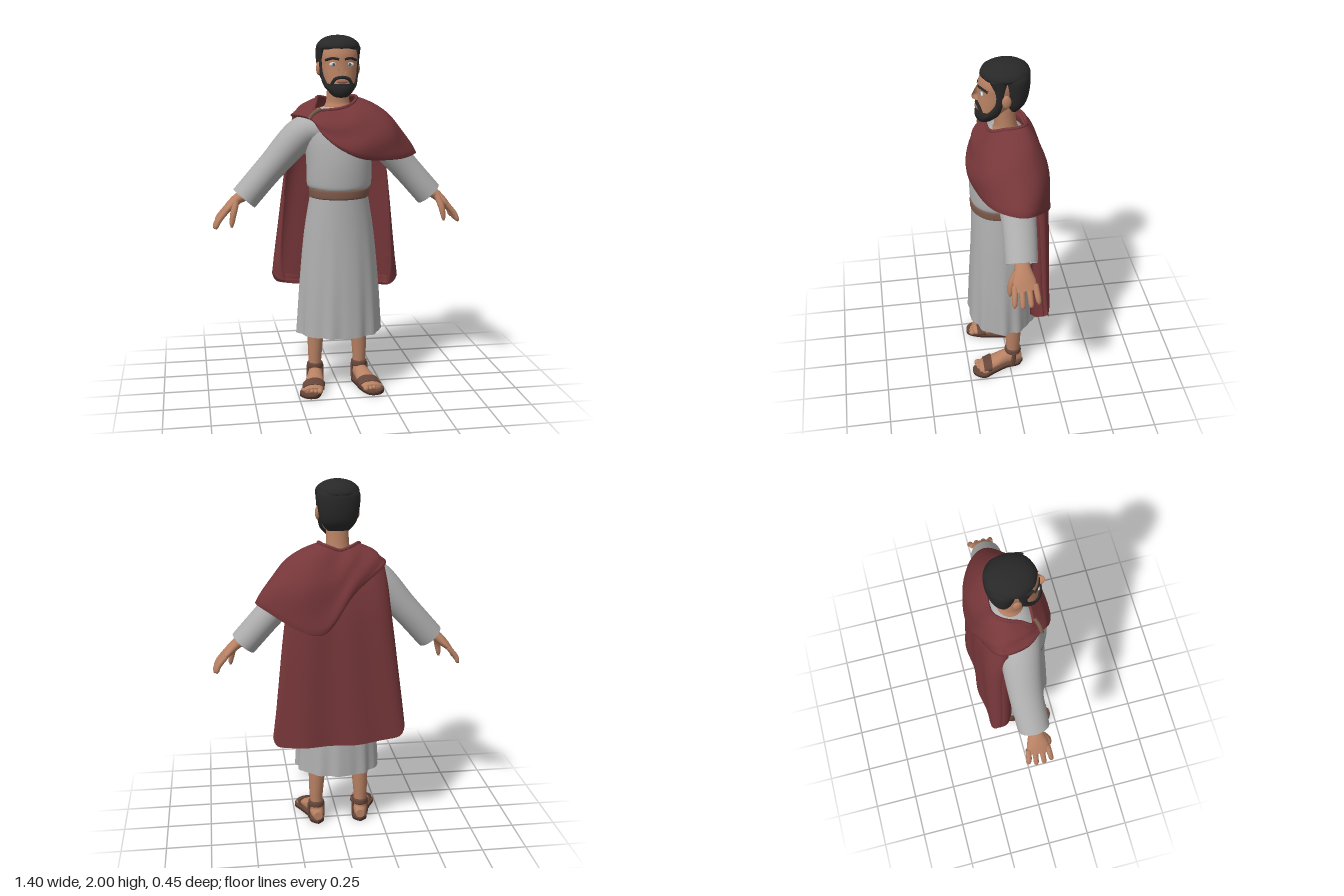
import * as THREE from 'three';

const V = (x, y, z) => new THREE.Vector3(x, y, z);
const X = V(1, 0, 0), Y = V(0, 1, 0), Z = V(0, 0, 1);
const paint = (name, color, side = THREE.FrontSide) => {
  const m = new THREE.MeshStandardMaterial({ color, side });
  m.name = name;
  return m;
};

// Smoothly resample rows of five numbers
function spline(rows, n) {
  const curve = (f) => new THREE.CatmullRomCurve3(rows.map(f), false, 'catmullrom', 0.5);
  const a = curve((r) => V(r[0], r[1], r[2])), b = curve((r) => V(r[3], r[4], 0));
  return Array.from({ length: n + 1 }, (_, i) => {
    const p = a.getPoint(i / n), q = b.getPoint(i / n);
    return [p.x, p.y, p.z, q.x, q.y];
  });
}

// Skin a list of closed rings, with optional flat ends
function loft(rings, caps = true) {
  const n = rings[0].length, pos = [], idx = [];
  rings.forEach((r) => r.forEach((p) => pos.push(p.x, p.y, p.z)));
  for (let i = 0; i < rings.length - 1; i++) {
    for (let j = 0; j < n; j++) {
      const k = (j + 1) % n, a = i * n + j, b = i * n + k;
      idx.push(a, a + n, b, b, a + n, b + n);
    }
  }
  if (caps) {
    [rings[0], rings[rings.length - 1]].forEach((r, end) => {
      const s = pos.length / 3;
      const c = r.reduce((t, p) => t.add(p), V(0, 0, 0)).divideScalar(n);
      [...r, c].forEach((p) => pos.push(p.x, p.y, p.z));
      for (let j = 0; j < n; j++) {
        const k = (j + 1) % n;
        idx.push(s + n, s + (end ? k : j), s + (end ? j : k));
      }
    });
  }
  const g = new THREE.BufferGeometry();
  g.setAttribute('position', new THREE.Float32BufferAttribute(pos, 3));
  g.setIndex(idx);
  g.computeVertexNormals();
  return g;
}

// Elliptical sections [x, y, z, radiusA, radiusB] along a path; radiusB lies along ref
function sweep(rows, { steps = 12, n = 20, ref = Z, dir = null, caps = true, shape = () => 1 } = {}) {
  const s = spline(rows, steps), at = (i) => V(...s[Math.min(Math.max(i, 0), steps)].slice(0, 3));
  return loft(s.map((r, i) => {
    const d = dir || at(i + 1).sub(at(i - 1)).normalize();
    const b = ref.clone().addScaledVector(d, -ref.dot(d)).normalize();
    const u = d.clone().cross(b);
    return Array.from({ length: n }, (_, j) => {
      const a = (j / n) * Math.PI * 2, k = shape(a, i / steps);
      return at(i).addScaledVector(u, Math.max(r[3], 0.002) * k * Math.cos(a))
        .addScaledVector(b, Math.max(r[4], 0.002) * k * Math.sin(a));
    });
  }), caps);
}

const ball = (x, y, z, a, b, c) => new THREE.SphereGeometry(1, 16, 12).scale(a, b, c).translate(x, y, z);
const tube = (pts, r, closed = false) =>
  new THREE.TubeGeometry(new THREE.CatmullRomCurve3(pts.map((p) => V(...p)), closed), 40, r, 8, closed);

function mirrored(geo) {
  const g = geo.clone().scale(-1, 1, 1);
  const src = g.index ? Array.from(g.index.array) : Array.from({ length: g.attributes.position.count }, (_, i) => i);
  for (let i = 0; i < src.length; i += 3) [src[i + 1], src[i + 2]] = [src[i + 2], src[i + 1]];
  g.setIndex(src);
  return g;
}

export function createModel() {
  const model = new THREE.Group();
  const cloak = paint('cloakRed', 0x77373a, THREE.DoubleSide), linen = paint('tunicGrey', 0xaeaeae, THREE.DoubleSide);
  const skin = paint('skin', 0xb88163), hair = paint('hairBlack', 0x282828), belt = paint('beltBrown', 0x7b5849);
  const leather = paint('sandalBrown', 0x66463a), sole = paint('soleBrown', 0x432c25);
  const white = paint('eyeWhite', 0xdde0e2), iris = paint('irisBlue', 0x4f6670), lip = paint('lip', 0x99604f);
  const add = (name, geo, mat) => {
    const m = new THREE.Mesh(geo, mat);
    m.name = name;
    model.add(m);
  };
  const pair = (name, geo, mat) => {
    add(name + 'Left', geo, mat);
    add(name + 'Right', mirrored(geo), mat);
  };

  // Tunic: fluted skirt, bloused top, belt
  add('skirt', sweep([[0, 0.34, 0.03, 0.24, 0.197], [0, 0.6, 0.032, 0.226, 0.185], [0, 0.9, 0.036, 0.198, 0.166],
    [0, 1.14, 0.045, 0.16, 0.149]], { steps: 20, n: 96, dir: Y, caps: false,
    shape: (a, t) => 1 + (0.028 * Math.sin(11 * a) + 0.016 * Math.sin(17 * a + 1)) * (1 - t) ** 2 }), linen);
  add('tunicTop', sweep([[0, 1.12, 0.045, 0.15, 0.14], [0, 1.165, 0.045, 0.163, 0.15], [0, 1.195, 0.045, 0.18, 0.157],
    [0, 1.32, 0.045, 0.182, 0.156], [0, 1.45, 0.03, 0.192, 0.15], [0, 1.54, 0.012, 0.195, 0.125],
    [0, 1.59, 0, 0.14, 0.095], [0, 1.612, 0, 0.08, 0.068]], { steps: 28, n: 40, dir: Y }), linen);
  add('belt', sweep([[0, 1.118, 0.045, 0.162, 0.152], [0, 1.127, 0.045, 0.167, 0.157], [0, 1.16, 0.045, 0.168, 0.157],
    [0, 1.17, 0.045, 0.164, 0.152]], { n: 40, dir: Y }), belt);
  pair('sleeve', sweep([[0.07, 1.5, 0.02, 0.075, 0.125], [0.2, 1.465, 0.004, 0.093, 0.11], [0.37, 1.285, -0.008, 0.08, 0.092],
    [0.525, 1.11, 0, 0.078, 0.086]], { steps: 18, n: 28, caps: false }), linen);

  // Arms and hands
  pair('forearm', sweep([[0.4, 1.255, 0, 0.04, 0.045], [0.5, 1.145, 0, 0.034, 0.04], [0.56, 1.11, 0, 0.03, 0.042],
    [0.61, 1.065, 0, 0.024, 0.06], [0.648, 1.025, -0.004, 0.014, 0.058]]), skin);
  [0.05, 0.015, -0.021, -0.055].forEach((z, i) => {
    const d = [0.006, 0, 0.002, 0.012][i];
    pair('finger' + i, sweep([[0.625, 1.05, z, 0.015, 0.016], [0.665, 1.002, z * 1.12, 0.014, 0.015],
      [0.688 - d, 0.962 + d, z * 1.2, 0.012, 0.013], [0.693 - d, 0.948 + d, z * 1.22, 0.005, 0.005]], { n: 10 }), skin);
  });
  pair('thumb', sweep([[0.57, 1.1, 0.03, 0.018, 0.02], [0.588, 1.04, 0.062, 0.018, 0.017],
    [0.598, 0.985, 0.07, 0.013, 0.013], [0.6, 0.962, 0.071, 0.005, 0.005]], { n: 10 }), skin);

  // Legs and feet
  pair('leg', sweep([[0.12, 0.62, -0.01, 0.07, 0.07], [0.125, 0.34, -0.02, 0.05, 0.052], [0.13, 0.2, -0.022, 0.041, 0.044],
    [0.13, 0.12, -0.022, 0.036, 0.039], [0.13, 0.05, -0.025, 0.038, 0.042]]), skin);
  pair('foot', sweep([[0.125, 0.045, -0.075, 0.025, 0.025], [0.128, 0.06, -0.045, 0.042, 0.038], [0.135, 0.064, 0.02, 0.048, 0.043],
    [0.15, 0.05, 0.09, 0.035, 0.053], [0.162, 0.04, 0.15, 0.025, 0.058], [0.17, 0.034, 0.19, 0.016, 0.05]],
  { ref: X, dir: Z }), skin);
  for (let i = 0; i < 5; i++) {
    const r = i ? 0.012 : 0.017;
    pair('toe' + i, ball(0.132 + i * 0.021 + (i ? 0.004 : 0), 0.033, 0.197 - i * i * 0.0025, r, r, 0.02), skin);
  }

  // Sandals
  const outline = new THREE.Shape().setFromPoints(new THREE.SplineCurve([[0.125, -0.085], [0.165, -0.05], [0.176, 0.02], [0.212, 0.1],
    [0.242, 0.165], [0.207, 0.222], [0.15, 0.222], [0.113, 0.15], [0.098, 0.06], [0.086, -0.04], [0.125, -0.085]]
    .map((p) => new THREE.Vector2(...p))).getPoints(50));
  const slab = (y, h) => new THREE.ExtrudeGeometry(outline, { depth: h, bevelEnabled: false }).rotateX(Math.PI / 2).translate(0, y + h, 0);
  pair('sole', slab(0, 0.012), sole);
  pair('insole', slab(0.012, 0.01), leather);
  pair('toeStrap', sweep([[0.156, 0.045, 0.115, 0.038, 0.064], [0.166, 0.035, 0.165, 0.03, 0.064]],
    { steps: 3, n: 28, ref: X, dir: Z }), leather);
  pair('ankleStrap', sweep([[0.13, 0.098, -0.021, 0.042, 0.046], [0.13, 0.105, -0.021, 0.046, 0.05],
    [0.13, 0.125, -0.021, 0.045, 0.049], [0.13, 0.131, -0.021, 0.04, 0.044]], { steps: 6, n: 28, dir: Y }), leather);
  [0.173, 0.088].forEach((x, i) => pair('sideStrap' + i, sweep([[x, 0.015, -0.01, 0.006, 0.018], [x, 0.06, -0.02, 0.008, 0.014],
    [x, 0.11, -0.022, 0.008, 0.012]], { n: 12, dir: Y }), leather));

  // Head
  add('neck', sweep([[0, 1.56, 0, 0.1, 0.09], [0, 1.615, 0.003, 0.076, 0.068], [0, 1.65, 0.005, 0.064, 0.058],
    [0, 1.76, 0.015, 0.06, 0.056]], { dir: Y }), skin);
  add('head', sweep([[0, 1.685, 0.1, 0.035, 0.035], [0, 1.72, 0.088, 0.07, 0.066], [0, 1.78, 0.05, 0.092, 0.1],
    [0, 1.84, 0.035, 0.1, 0.11], [0, 1.9, 0.03, 0.105, 0.112], [0, 1.96, 0.02, 0.085, 0.095], [0, 1.975, 0.015, 0.04, 0.05]],
  { steps: 24, n: 32, dir: Y }), skin);
  add('nose', sweep([[0, 1.878, 0.135, 0.011, 0.012], [0, 1.835, 0.152, 0.014, 0.019], [0, 1.808, 0.158, 0.022, 0.022],
    [0, 1.793, 0.15, 0.014, 0.014]], { dir: Y }), skin);
  pair('ear', ball(0.108, 1.82, 0.014, 0.013, 0.036, 0.024), skin);
  pair('eye', ball(0.045, 1.845, 0.132, 0.022, 0.012, 0.008), white);
  pair('iris', ball(0.044, 1.845, 0.138, 0.008, 0.009, 0.004), iris);
  pair('brow', tube([[0.014, 1.872, 0.143], [0.05, 1.877, 0.132], [0.083, 1.867, 0.104]], 0.007), hair);

  // Hair and beard
  add('hairTop', sweep([[0, 1.922, 0.006, 0.113, 0.124], [0, 1.938, 0.006, 0.119, 0.13], [0, 1.963, 0.006, 0.106, 0.118],
    [0, 1.985, 0.004, 0.075, 0.088], [0, 1.997, 0.002, 0.038, 0.046], [0, 2, 0.002, 0.008, 0.01]], { steps: 20, n: 36, dir: Y,
    shape: (a) => 1 + 0.01 * Math.sin(9 * a) }), hair);
  add('hairBack', sweep([[0, 1.732, -0.035, 0.06, 0.025], [0, 1.78, -0.042, 0.095, 0.06], [0, 1.85, -0.042, 0.112, 0.078],
    [0, 1.92, -0.035, 0.117, 0.088], [0, 1.95, -0.03, 0.105, 0.08]], { steps: 18, n: 32, dir: Y }), hair);
  pair('sideburn', sweep([[0.1, 1.935, 0.05, 0.016, 0.048], [0.1, 1.86, 0.046, 0.01, 0.021], [0.094, 1.79, 0.053, 0.01, 0.02],
    [0.077, 1.735, 0.08, 0.013, 0.03], [0.05, 1.705, 0.11, 0.014, 0.03]]), hair);
  add('beard', sweep([[0, 1.668, 0.115, 0.025, 0.025], [0, 1.68, 0.112, 0.048, 0.044], [0, 1.71, 0.1, 0.073, 0.066],
    [0, 1.742, 0.088, 0.083, 0.073]], { n: 32, dir: Y }), hair);
  add('moustache', tube([[-0.056, 1.738, 0.136], [-0.036, 1.768, 0.146], [0, 1.777, 0.154], [0.036, 1.768, 0.146], [0.056, 1.738, 0.136]], 0.009), hair);
  add('mouth', ball(0, 1.753, 0.155, 0.028, 0.009, 0.01), lip);

  // Hanging cloak: a thick sheet with edges curling forward; rows are [y, xRight, xLeft, zEdge, zMiddle]
  const us = Array.from({ length: 65 }, (_, j) => j / 64);
  add('cloakBack', loft(spline([[0.6, -0.378, 0.4, -0.095, -0.2], [0.75, -0.375, 0.39, -0.095, -0.2], [1.2, -0.32, 0.34, -0.1, -0.195],
    [1.4, -0.285, 0.29, -0.105, -0.178], [1.58, -0.235, 0.2, -0.085, -0.13]], 24).map(([y, xr, xl, ze, zm], i) => {
    const low = 1 - i / 24;
    const point = (u, inset) => {
      const s = 2 * u - 1, f = s * (1 + 0.4 * low) - 0.63 * low * Math.sign(s) * s ** 6;
      const lift = 0.05 * Math.exp(-(((Math.abs(s) - 0.83) / 0.1) ** 2));
      return V((xr + xl) / 2 + ((xl - xr) / 2) * f,
        y + low ** 3 * (0.01 + lift - 0.06 * Math.sin(Math.PI * Math.min(u, 0.5))),
        ze + (zm - ze) * (1 - s ** 4) - 0.02 * u * low + inset + 0.008 * low * Math.sin(u * 24 + low));
    };
    return [...us.map((u) => point(u, 0)), ...us.map((u) => point(1 - u, 0.025))];
  })), cloak);

  // Shoulder drape: neck, middle and hem loops running clasp, front, left, back, right
  const neckLine = [[-0.14, 1.6, 0.09], [-0.075, 1.6, 0.1], [0.01, 1.61, 0.095], [0.068, 1.632, 0.075], [0.1, 1.657, 0.025], [0.108, 1.663, -0.025],
    [0.095, 1.666, -0.075], [0.055, 1.655, -0.1], [0, 1.637, -0.105], [-0.06, 1.655, -0.095], [-0.105, 1.663, -0.045], [-0.125, 1.64, 0.03]];
  const middle = [[-0.16, 1.578, 0.108], [-0.11, 1.54, 0.157], [0.01, 1.505, 0.18], [0.14, 1.51, 0.17], [0.255, 1.535, 0.115], [0.297, 1.558, 0],
    [0.28, 1.54, -0.11], [0.18, 1.495, -0.182], [0.045, 1.46, -0.188], [-0.075, 1.555, -0.16], [-0.18, 1.618, -0.085], [-0.185, 1.613, 0.035]];
  const hem = [[-0.17, 1.552, 0.125], [-0.12, 1.485, 0.183], [-0.01, 1.4, 0.212], [0.13, 1.345, 0.205], [0.33, 1.335, 0.135], [0.445, 1.345, 0],
    [0.41, 1.32, -0.11], [0.25, 1.235, -0.2], [0.09, 1.215, -0.208], [-0.065, 1.41, -0.19], [-0.24, 1.545, -0.118], [-0.235, 1.568, 0.025]];
  const [cn, cm, ch] = [neckLine, middle, hem].map((l) => new THREE.CatmullRomCurve3(l.map((p) => V(...p)), true, 'catmullrom', 0.5));
  const around = 96, rows = 16, rings = [];
  for (let i = 0; i <= rows + 2; i++) {
    const v = Math.min(i / rows, 1), tuck = Math.max(i - rows, 0);
    rings.push(Array.from({ length: around }, (_, j) => {
      const t = j / around;
      const p = V(0, 0, 0).addScaledVector(cn.getPoint(t), 2 * (v - 0.5) * (v - 1))
        .addScaledVector(cm.getPoint(t), 4 * v * (1 - v)).addScaledVector(ch.getPoint(t), 2 * v * (v - 0.5));
      const out = V(p.x, 0, p.z).normalize();
      p.addScaledVector(out, 0.007 * v * Math.sin(v * 10 + t * 25) - 0.012 * tuck);
      p.y += tuck === 1 ? -0.008 : 0;
      return p;
    }));
  }
  add('shoulderDrape', loft(rings, false), cloak);
  add('collarRoll', tube(neckLine, 0.009, true), cloak);
  add('clasp', tube([[-0.176, 1.555, 0.126], [-0.152, 1.584, 0.121], [-0.11, 1.605, 0.104]], 0.011), belt);
  return model;
}
